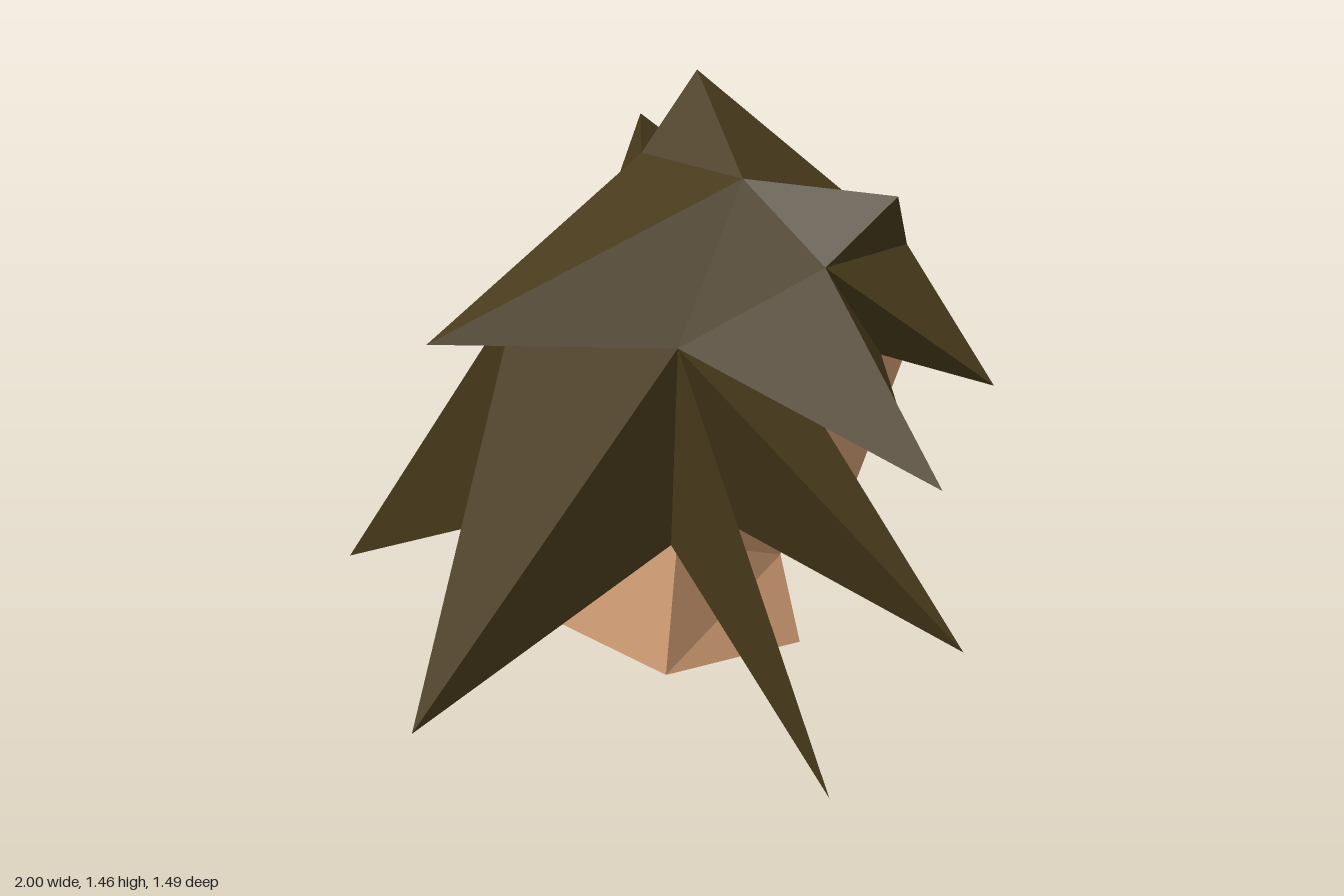
import * as THREE from 'three';

// Named corner points; the side points are mirrored for the -x half.
const hairSide = {
  ridge: [0.19, 1.27, -0.14], temple: [0.41, 1.08, -0.21], brow: [0.27, 1.04, -0.635],
  nape: [0.31, 0.93, 0.17], low: [0.195, 0.38, 0.09], notch: [0.24, 0.42, -0.05],
  behindEar: [0.39, 0.77, -0.165], overEar: [0.39, 0.74, -0.28], cheek: [0.38, 0.81, -0.44],
  tipLow: [0.96, 0.05, 0.28], tipMid: [1.0, 0.31, -0.1], tipHigh: [0.88, 0.66, -0.14],
  tipFront: [0.65, 0.77, -0.56], tipEar: [0.61, 0.62, -0.33],
  tipBack: [0, 0, 0.745], tipCrown: [0, 0.965, 0.67],
};
const faceSide = {
  hairline: [0.27, 1.04, -0.635], hairMid: [0, 1.04, -0.635],
  browIn: [0.11, 0.925, -0.71], browOut: [0.31, 0.89, -0.625], bridge: [0, 0.89, -0.67],
  eyeIn: [0.07, 0.85, -0.67], eyeOut: [0.3, 0.79, -0.625], nostril: [0.08, 0.63, -0.675],
  nose: [0, 0.58, -0.745], lip: [0.06, 0.545, -0.63], jaw: [0.23, 0.35, -0.48],
  hinge: [0.34, 0.585, -0.325], side: [0.37, 0.85, -0.38], temple: [0.37, 1.03, -0.25],
  back: [0.36, 0.78, -0.16], under: [0.3, 0.5, -0.1], throat: [0.3, 0.54, -0.25],
};
const earSide = {
  top: [0.42, 0.77, -0.2], rear: [0.43, 0.69, -0.14], lobe: [0.35, 0.57, -0.23],
  front: [0.36, 0.72, -0.31], inner: [0.37, 0.68, -0.24],
};
const neckSide = {
  back: [0.27, 0.08, 0.17], front: [0.27, 0.04, -0.285], collar: [0.15, 0.235, -0.325],
  nape: [0.195, 0.38, 0.07], throat: [0.3, 0.54, -0.25], under: [0.3, 0.5, -0.1],
};
const eyeSide = {
  in: [0.065, 0.835, -0.69], top: [0.19, 0.85, -0.675],
  out: [0.3, 0.8, -0.64], low: [0.17, 0.802, -0.68],
};

const material = (color) => new THREE.MeshStandardMaterial({
  color, flatShading: true, side: THREE.DoubleSide,
});
const hairMat = material(0x483a1b);
const skinMat = material(0xc8966e);
const eyeMat = material(0x101010);

// Adds "-name" twins with x negated.
function withMirror(points) {
  const all = { ...points };
  for (const [k, [x, y, z]] of Object.entries(points)) all['-' + k] = [-x, y, z];
  return all;
}

// Builds a faceted mesh from triangles written as point names.
function facets(name, mat, points, triangles) {
  const pos = triangles.flatMap((t) => t.split(' ').flatMap((k) => points[k]));
  const g = new THREE.BufferGeometry();
  g.setAttribute('position', new THREE.Float32BufferAttribute(pos, 3));
  g.computeVertexNormals();
  const mesh = new THREE.Mesh(g, mat);
  mesh.name = name;
  return mesh;
}

// Repeats triangles on the other side with their order reversed.
const both = (tris) => [...tris, ...tris.map((t) =>
  t.split(' ').reverse().map((k) => '-' + k).join(' '))];

export function createModel() {
  const model = new THREE.Group();
  model.name = 'head';
  const hair = withMirror(hairSide);
  // Uneven tufts of the crown
  Object.assign(hair, {
    peak: [-0.19, 1.46, -0.325], tuftR: [-0.42, 1.31, -0.33], tuftL: [0.46, 1.235, -0.4],
  });

  model.add(facets('crownHair', hairMat, hair, [
    '-ridge ridge peak', 'peak ridge brow', 'peak brow -brow', 'peak -brow -ridge',
    '-ridge -brow tuftR', 'tuftR -brow -temple', 'tuftR -temple -ridge',
    'ridge tuftL brow', 'tuftL temple brow', 'tuftL ridge temple',
    'tipCrown ridge -ridge', 'nape tipCrown -nape',
    ...both(['ridge tipCrown nape', 'ridge nape temple']),
  ]));

  model.add(facets('backSpike', hairMat, hair, [
    '-nape tipBack nape', 'low tipBack -low', ...both(['nape tipBack low']),
  ]));

  model.add(facets('sideSpikes', hairMat, hair, both([
    'nape low tipLow', 'nape tipLow notch', 'low notch tipLow',
    'nape notch tipMid', 'nape tipMid behindEar', 'notch behindEar tipMid',
    'nape tipHigh temple', 'nape behindEar tipHigh', 'behindEar temple tipHigh',
  ])));

  model.add(facets('frontSpikes', hairMat, hair, both([
    'temple tipFront brow', 'temple cheek tipFront', 'cheek brow tipFront',
    'temple tipEar cheek', 'temple overEar tipEar', 'overEar cheek tipEar',
    'temple behindEar overEar',
  ])));

  model.add(facets('face', skinMat, withMirror(faceSide), [
    'nose lip -lip',
    ...both([
      // forehead and brow
      'hairMid hairline browIn', 'hairMid browIn bridge', 'hairline browOut browIn',
      'browIn browOut eyeIn', 'browOut eyeOut eyeIn', 'browIn eyeIn bridge',
      // nose and muzzle
      'bridge eyeIn nostril', 'bridge nostril nose', 'nostril lip nose',
      'eyeIn eyeOut nostril', 'eyeOut lip nostril',
      // cheek and side of the head
      'eyeOut jaw lip', 'eyeOut hinge jaw', 'eyeOut side hinge', 'browOut side eyeOut',
      'hairline side browOut', 'hairline temple side', 'temple back side',
      'side back hinge', 'back under hinge', 'under throat hinge',
    ]),
  ]));

  model.add(facets('ears', skinMat, withMirror(earSide), both([
    'top inner rear', 'rear inner lobe', 'lobe inner front', 'front inner top',
    'top rear front', 'rear lobe front',
  ])));

  model.add(facets('neck', skinMat, withMirror(neckSide), [
    'back -back -front', 'back -front front',
    'front -front -collar', 'front -collar collar',
    'back nape -nape', 'back -nape -back',
    ...both(['back front collar', 'back collar nape', 'nape collar throat', 'nape throat under']),
  ]));

  model.add(facets('eyes', eyeMat, withMirror(eyeSide), both(['in top out', 'in out low'])));

  return model;
}
